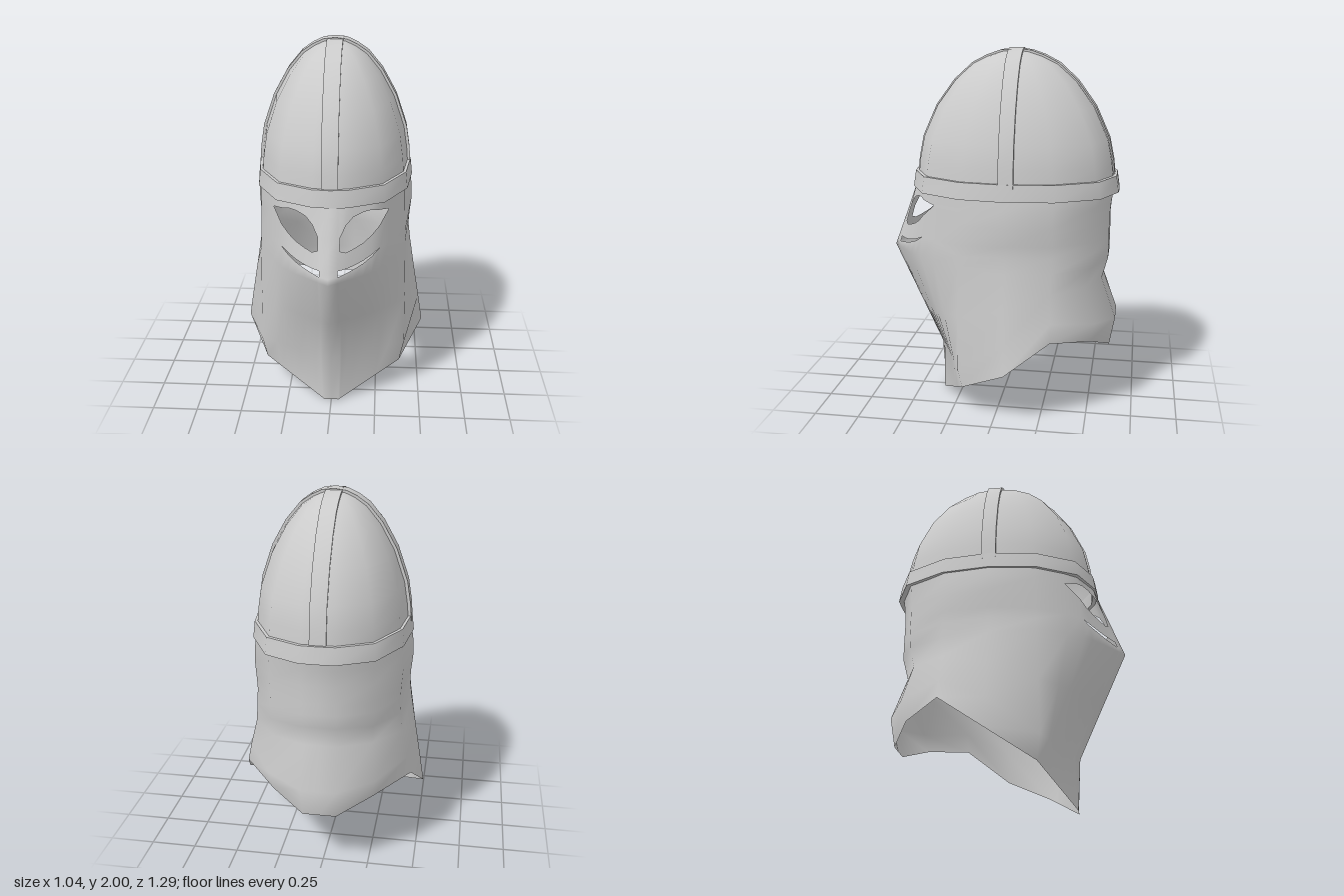
import * as THREE from 'three';
import { mergeVertices, toCreasedNormals } from 'three/addons/utils/BufferGeometryUtils.js';

const material = new THREE.MeshStandardMaterial({ color: 0xcccccc, side: THREE.DoubleSide });
const CZ = -0.06; // centre of the skull in z

// Half outline of the skull seen from above, front to back: [x, z]
const RING = [[0, 0.49], [0.09, 0.48], [0.27, 0.39], [0.385, 0.18], [0.415, -0.06],
  [0.385, -0.31], [0.27, -0.53], [0.09, -0.615], [0, -0.618]];

// Dome profile from the apex down: [scale of the outline, y]
const PROFILE = [[0, 1.988], [0.15, 1.98], [0.28, 1.955], [0.42, 1.915], [0.6, 1.825],
  [0.78, 1.69], [0.92, 1.52], [0.965, 1.4], [0.985, 1.3]];

const lerp = THREE.MathUtils.lerp;

// Piecewise linear lookup in a list of [x, value]
function lookup(table, x) {
  const i = Math.max(1, table.findIndex((p) => p[0] >= x));
  const [x0, v0] = table[i - 1], [x1, v1] = table[i];
  return lerp(v0, v1, (x - x0) / (x1 - x0));
}

// Closed skin over half columns (front to back, points top to bottom), mirrored in x
function mirroredSkin(half, isOpen = () => false) {
  const n = half.length - 1;
  const mirrored = half.slice(1, n).reverse().map((col) => col.map(([x, y, z]) => [-x, y, z]));
  const columns = [...half, ...mirrored];
  const rows = half[0].length, index = [];
  for (let c = 0; c < 2 * n; c++) {
    const next = (c + 1) % (2 * n);
    for (let r = 0; r < rows - 1; r++) {
      if (isOpen(c < n ? c : 2 * n - 1 - c, r)) continue;
      const a = c * rows + r, d = next * rows + r;
      index.push(a, a + 1, d, d, a + 1, d + 1);
    }
  }
  const geometry = new THREE.BufferGeometry();
  geometry.setAttribute('position', new THREE.Float32BufferAttribute(columns.flat(2), 3));
  geometry.setIndex(index);
  const merged = mergeVertices(geometry, 1e-4);
  merged.computeVertexNormals();
  return merged;
}

function makeDome() {
  return mirroredSkin(RING.map(([x, z]) => PROFILE.map(([s, y]) => [x * s, y, CZ + (z - CZ) * s])));
}

// Brow band: a closed rectangular section carried round the outline
function makeBand() {
  const section = [[0.98, 1.33], [1.015, 1.33], [1.04, 1.24], [0.98, 1.24], [0.98, 1.33]];
  const half = RING.map(([x, z]) => section.map(([s, y]) => [x * s, y, CZ + (z - CZ) * s]));
  return toCreasedNormals(mirroredSkin(half), 0.7);
}

// Arched strap over the dome, lying in the xy plane and extruded to its width
function makeStrap(radius, width, thickness) {
  const side = (offset) => PROFILE.map(([s, y]) =>
    new THREE.Vector2(s * radius + offset * s, y + offset * (1 - s * s)));
  const arch = (offset) => {
    const right = side(offset);
    const left = right.slice(1).reverse().map((p) => new THREE.Vector2(-p.x, p.y));
    return [...left, ...right];
  };
  const shape = new THREE.Shape([...arch(thickness), ...arch(-0.015).reverse()]);
  const geometry = new THREE.ExtrudeGeometry(shape, { depth: width, bevelEnabled: false });
  geometry.translate(0, 0, -width / 2);
  return toCreasedNormals(geometry, 0.6);
}

// Face and neck guard with eye openings and breathing slits
function makeGuard() {
  // Front columns: [x, eye top, eye bottom, slit top, slit bottom]
  const face = [
    [0, 1.09, 1.03, 0.93, 0.9], [0.045, 1.09, 1.03, 0.93, 0.9], [0.055, 1.09, 1.025, 0.93, 0.901],
    [0.085, 1.15, 1.013, 0.931, 0.908], [0.12, 1.185, 1.023, 0.936, 0.917],
    [0.17, 1.202, 1.043, 0.95, 0.935], [0.21, 1.205, 1.07, 0.966, 0.956],
    [0.25, 1.197, 1.11, 0.988, 0.988], [0.3, 1.18, 1.18, 0.99, 0.99],
    [0.385, 1.18, 1.1, 0.99, 0.93],
  ];
  const cheekZ = [[0, 0.645], [0.05, 0.608], [0.18, 0.505], [0.26, 0.42], [0.385, 0.19]];
  const front = face.map(([x, ...ys]) => {
    const f = x / 0.385;
    const topZ = lookup(RING.slice(0, 4), x), lowZ = lookup(cheekZ, x);
    const column = [1.28, ...ys, 0.87].map((y) => {
      const t = (1.28 - y) / 0.41;
      return [x * (1 + 0.04 * t), y, lerp(topZ, lowZ, t)];
    });
    const low = column[5];
    const knee = [0.41 * f, lerp(0.28, 0.3, f), lerp(0.375, 0.2, f)];
    const cheek = low.map((v, i) => (v + knee[i]) / 2);
    const b = Math.max(0, (x - 0.045) / 0.34);
    const hem = [x < 0.045 ? x : lerp(0.04, 0.385, b), 0.17 * b, lerp(0.358, 0.18, b)];
    return [...column, cheek, knee, hem];
  });

  // Side and nape columns: [x, y, z] from the band down to the hem
  const back = [
    [[0.415, 1.28, -0.06], [0.43, 1.19, -0.06], [0.435, 1.1, -0.06], [0.425, 1.0, -0.06],
      [0.422, 0.94, -0.06], [0.433, 0.85, -0.06], [0.463, 0.66, -0.06], [0.495, 0.47, -0.065], [0.52, 0.31, -0.07]],
    [[0.385, 1.28, -0.31], [0.395, 1.19, -0.31], [0.4, 1.1, -0.31], [0.393, 1.0, -0.31],
      [0.39, 0.94, -0.31], [0.395, 0.85, -0.31], [0.405, 0.74, -0.3], [0.44, 0.59, -0.31], [0.46, 0.49, -0.31]],
    [[0.27, 1.28, -0.53], [0.27, 1.19, -0.52], [0.27, 1.1, -0.515], [0.27, 1.0, -0.515],
      [0.27, 0.94, -0.515], [0.27, 0.86, -0.51], [0.265, 0.75, -0.485], [0.285, 0.55, -0.54], [0.27, 0.44, -0.51]],
    [[0.09, 1.28, -0.615], [0.09, 1.19, -0.6], [0.09, 1.1, -0.592], [0.09, 1.0, -0.593],
      [0.09, 0.94, -0.593], [0.09, 0.87, -0.592], [0.09, 0.75, -0.56], [0.095, 0.52, -0.642], [0.09, 0.36, -0.613]],
  ];
  const nape = back[3].map(([, y, z]) => [0, y, z]);
  const isOpen = (c, r) => (r === 1 && c >= 2 && c <= 7) || (r === 3 && c >= 1 && c <= 6);
  return mirroredSkin([...front, ...back, nape], isOpen);
}

export function createModel() {
  const group = new THREE.Group();
  group.name = 'helmet';
  const add = (name, geometry) => {
    const mesh = new THREE.Mesh(geometry, material);
    mesh.name = name;
    group.add(mesh);
    return mesh;
  };
  add('dome', makeDome());
  add('browBand', makeBand());
  add('faceAndNeckGuard', makeGuard());
  add('crossStrap', makeStrap(0.415, 0.08, 0.012)).position.z = -0.067;
  const lengthStrap = add('lengthwiseStrap', makeStrap(0.552, 0.086, 0.008));
  lengthStrap.rotation.y = Math.PI / 2;
  lengthStrap.position.z = CZ - 0.004;
  return group;
}
